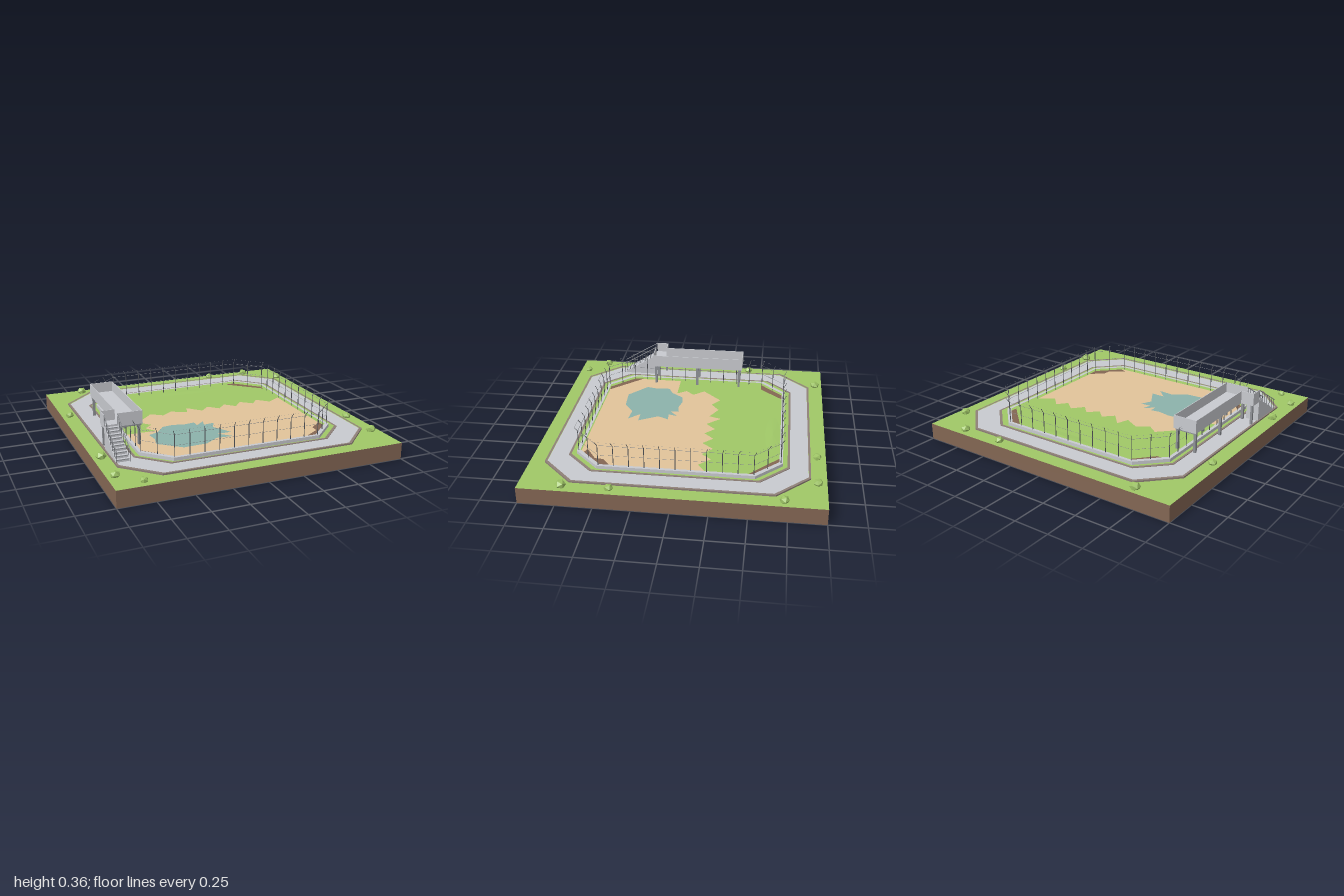
import * as THREE from 'three';

const mat = (name, color, extra = {}) => {
  const m = new THREE.MeshStandardMaterial({ color, ...extra });
  m.name = name;
  return m;
};

export function createModel() {
  const root = new THREE.Group();
  root.name = 'fencedEnclosure';
  const grass = mat('grass', 0xa0c867);
  const dirt = mat('dirt', 0x836653);
  const sand = mat('sand', 0xe2c49a);
  const water = mat('water', 0x8cb3ab);
  const concrete = mat('concrete', 0xc8cacf);
  const kerbMat = mat('kerb', 0x8f8078);
  const steel = mat('steel', 0x8f9297);
  const darkMetal = mat('darkMetal', 0x55585d);
  const bushMat = mat('bush', 0x9cc264, { flatShading: true });
  const GROUND = 0.115;

  const add = (name, geo, material, parent = root) => {
    const m = new THREE.Mesh(geo, material);
    m.name = name;
    parent.add(m);
    return m;
  };
  const group = (name) => {
    const g = new THREE.Group();
    g.name = name;
    root.add(g);
    return g;
  };
  // box given by its limits on each axis
  const box = (name, [x0, x1], [y0, y1], [z0, z1], material, parent) => {
    const m = add(name, new THREE.BoxGeometry(x1 - x0, y1 - y0, z1 - z0), material, parent);
    m.position.set((x0 + x1) / 2, (y0 + y1) / 2, (z0 + z1) / 2);
    return m;
  };
  // thin straight bar between two points
  const bar = (name, a, b, r, material, parent, sides = 6) => {
    const p = new THREE.Vector3(...a), q = new THREE.Vector3(...b);
    const m = add(name, new THREE.CylinderGeometry(r, r, p.distanceTo(q), sides), material, parent);
    m.position.copy(p).add(q).multiplyScalar(0.5);
    m.quaternion.setFromUnitVectors(new THREE.Vector3(0, 1, 0), q.sub(p).normalize());
    return m;
  };
  // outlines from ground points [x, z]
  const toPoints = (pts) => pts.map(([x, z]) => new THREE.Vector2(x, -z));
  const patch = (name, pts, lift, material) => {
    const geo = new THREE.ShapeGeometry(new THREE.Shape(toPoints(pts)));
    geo.rotateX(-Math.PI / 2).translate(0, GROUND + lift, 0);
    add(name, geo, material);
  };
  const octagon = (a, b = a * 0.75) =>
    [[a, b], [b, a], [-b, a], [-a, b], [-a, -b], [-b, -a], [b, -a], [a, -b]];
  const ring = (name, outer, inner, top, material) => {
    const s = new THREE.Shape(toPoints(octagon(outer)));
    s.holes.push(new THREE.Path(toPoints(octagon(inner))));
    const y0 = GROUND - 0.005;
    const geo = new THREE.ExtrudeGeometry(s, { depth: top - y0, bevelEnabled: false });
    geo.rotateX(-Math.PI / 2).translate(0, y0, 0);
    add(name, geo, material);
  };

  // Ground block: earth sides with a grass top
  const base = add('groundBlock', new THREE.BoxGeometry(2, GROUND, 2), [dirt, dirt, grass, dirt, dirt, dirt]);
  base.position.y = GROUND / 2;

  // Walkway, its kerbs and the fence footing
  ring('walkway', 0.88, 0.755, 0.122, concrete);
  ring('outerKerb', 0.895, 0.88, 0.126, kerbMat);
  ring('innerKerb', 0.755, 0.74, 0.126, kerbMat);
  ring('fenceFooting', 0.708, 0.685, 0.138, concrete);

  // Sand, pool and bare earth corners
  patch('sandArea', [
    [-0.685, 0.14], [-0.46, 0.14], [-0.51, 0.07], [-0.45, 0.01], [-0.52, -0.07], [-0.38, -0.21],
    [-0.30, -0.15], [-0.22, -0.21], [-0.11, -0.15], [-0.08, -0.24], [0.01, -0.14], [0.08, -0.21],
    [0.15, -0.14], [0.22, -0.21], [0.29, -0.14], [0.36, -0.22], [0.44, -0.15], [0.50, -0.22],
    [0.58, -0.14], [0.685, -0.21], [0.685, 0.514], [0.514, 0.685], [-0.514, 0.685], [-0.685, 0.514],
  ], 0.002, sand);
  patch('pool', [
    [-0.53, 0.21], [-0.46, 0.18], [-0.39, 0.09], [-0.31, 0.08], [-0.22, 0.10], [-0.15, 0.09],
    [-0.15, 0.15], [-0.08, 0.09], [-0.10, 0.16], [-0.02, 0.15], [-0.06, 0.23], [0.02, 0.37],
    [-0.08, 0.37], [0.00, 0.45], [-0.12, 0.44], [-0.22, 0.51], [-0.39, 0.52], [-0.54, 0.39], [-0.52, 0.30],
  ], 0.004, water);
  [
    [[-0.685, -0.514], [-0.60, -0.52], [-0.45, -0.685], [-0.514, -0.685]],
    [[-0.685, 0.45], [-0.57, 0.57], [-0.46, 0.685], [-0.514, 0.685], [-0.685, 0.514]],
    [[0.685, 0.43], [0.59, 0.51], [0.585, 0.57], [0.47, 0.645], [0.53, 0.669], [0.685, 0.514]],
    [[0.44, -0.685], [0.514, -0.685], [0.685, -0.514], [0.685, -0.46], [0.62, -0.52]],
  ].forEach((pts) => patch('bareEarth', pts, 0.005, dirt));

  // Low grassy rise by the back fence
  const rise = add('grassRise', new THREE.ConeGeometry(1, 1, 10), grass);
  rise.scale.set(0.26, 0.005, 0.055);
  rise.position.set(0.1, GROUND + 0.0025, -0.63);

  // Fence: posts with outward arms, rails and a strand along the arm tips
  const fence = group('fence');
  const A = 0.695;
  const corners = octagon(A);
  const underDeck = (x, z) => x < -0.65 && Math.abs(z) < 0.365;
  corners.forEach(([x0, z0], i) => {
    const [x1, z1] = corners[(i + 1) % 8];
    const n = i % 2 === 0 ? 2 : 10;
    for (let k = 0; k < n; k++) {
      const x = x0 + (x1 - x0) * k / n, z = z0 + (z1 - z0) * k / n;
      const low = underDeck(x, z);
      bar('fencePost', [x, GROUND, z], [x, low ? 0.266 : 0.29, z], 0.0026, darkMetal, fence);
      if (low) continue;
      const f = 1 + 0.018 / A;
      bar('fenceArm', [x, 0.288, z], [x * f, 0.322, z * f], 0.002, darkMetal, fence);
    }
    const leftSide = x0 < -0.65 && x1 < -0.65;
    const rail = (name, y, r, f = 1) => {
      if (leftSide && y > 0.26) {
        for (const s of [-1, 1]) bar(name, [x0 * f, y, s * Math.abs(z0) * f], [x0 * f, y, s * 0.36], r, steel, fence, 4);
      } else bar(name, [x0 * f, y, z0 * f], [x1 * f, y, z1 * f], r, steel, fence, 4);
    };
    rail('topRail', 0.288, 0.0012);
    rail('midRail', 0.215, 0.001);
    rail('armWire', 0.32, 0.0003, 1 + 0.017 / A);
  });

  // Raised viewing platform with solid parapets
  const deck = group('viewingPlatform');
  const X0 = -0.792, X1 = -0.622, XL = -0.887, Z = 0.36, T = 0.005;
  const wallY = [0.283, 0.36];
  box('platformFloor', [X0, X1], [0.268, 0.288], [-Z, Z], concrete, deck);
  box('landingFloor', [XL, X0], [0.268, 0.288], [0.268, Z], concrete, deck);
  box('innerParapet', [X1 - T, X1], wallY, [-Z, Z], concrete, deck);
  box('backParapet', [X0, X1 - T], wallY, [-Z, -Z + T], concrete, deck);
  box('frontParapet', [X0, X1 - T], wallY, [Z - T, Z], concrete, deck);
  box('outerParapet', [X0, X0 + T], wallY, [-Z + T, 0.268], concrete, deck);
  box('landingBackParapet', [XL, X0 + T], wallY, [0.268, 0.268 + T], concrete, deck);
  box('landingSideParapet', [XL, XL + T], wallY, [0.268 + T, Z], concrete, deck);
  for (const z of [-0.335, 0, 0.335]) {
    for (const x of [-0.775, -0.642]) {
      box('platformColumn', [x - 0.009, x + 0.009], [GROUND, 0.27], [z - 0.009, z + 0.009], steel, deck);
    }
    box('crossBeam', [X0 + 0.005, X1 - 0.005], [0.252, 0.268], [z - 0.008, z + 0.008], steel, deck);
  }
  box('landingColumn', [-0.88, -0.864], [GROUND, 0.27], [0.275, 0.291], steel, deck);

  // Stairs: solid steps between sloping side plates, with handrails
  const stairs = group('stairs');
  const N = 10, run = 0.25 / N;
  for (let i = 0; i < N; i++) {
    const z = Z + i * run;
    const y = 0.275 - i * 0.0152;
    box('step', [XL + 0.004, X0 - 0.004], [GROUND, y], [z, z + run], concrete, stairs);
    box('stepNosing', [XL + 0.004, X0 - 0.004], [y - 0.004, y + 0.001], [z + run - 0.003, z + run + 0.001], steel, stairs);
  }
  const side = new THREE.Shape([[Z, GROUND], [0.62, GROUND], [0.62, 0.124], [Z, 0.288]]
    .map(([z, y]) => new THREE.Vector2(-z, y)));
  for (const x of [XL, X0 - 0.004]) {
    const plate = new THREE.ExtrudeGeometry(side, { depth: 0.004, bevelEnabled: false });
    plate.rotateY(Math.PI / 2).translate(x, 0, 0);
    add('stairSide', plate, concrete, stairs);
    const rx = x + 0.002;
    bar('handrail', [rx, 0.358, Z], [rx, 0.197, 0.627], 0.003, steel, stairs);
    for (let k = 0; k <= 6; k++) {
      const z = Z + 0.006 + k * 0.0425;
      const top = 0.358 - (z - Z) * 0.603;
      bar('baluster', [rx, Math.max(GROUND, top - 0.09), z], [rx, top, z], 0.0018, darkMetal, stairs);
    }
  }

  // Bushes around the edge: x, z, radius
  const bushes = group('bushes');
  [
    [-0.72, -0.945, 0.036], [0.4, -0.94, 0.032], [0.72, -0.94, 0.034], [0.94, -0.725, 0.034],
    [-0.945, -0.4, 0.031], [-0.945, 0.475, 0.037], [-0.945, 0.795, 0.033], [-0.805, 0.935, 0.028],
    [0.94, 0.4, 0.032], [0.94, 0.715, 0.038],
  ].forEach(([x, z, r], i) => {
    const b = add('bush', new THREE.IcosahedronGeometry(r, 0), bushMat, bushes);
    b.scale.y = 0.85;
    b.rotation.y = i * 1.3;
    b.position.set(x, GROUND + r * 0.35, z);
  });

  return root;
}
